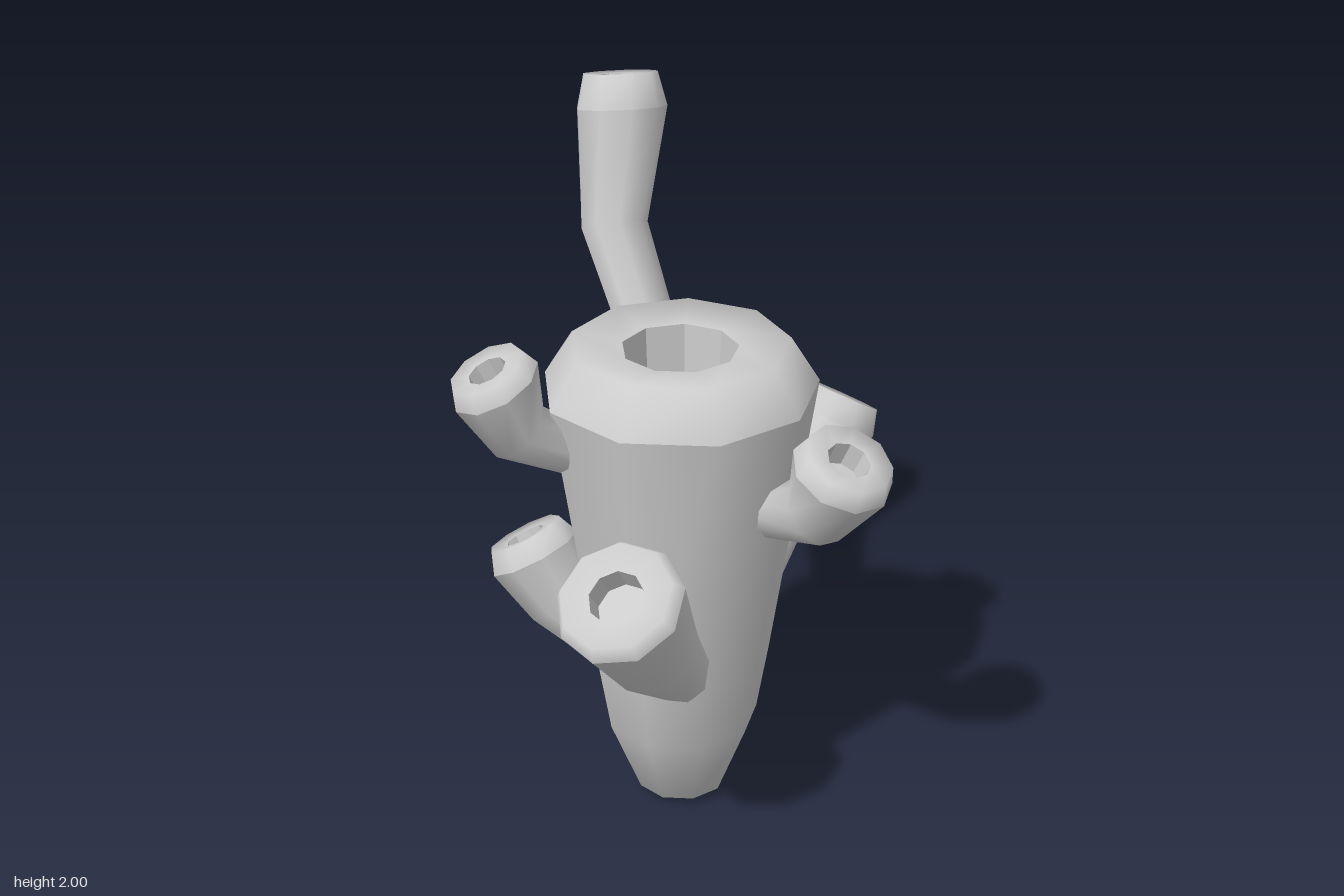
import * as THREE from 'three';

const SIDES = 9;
const material = new THREE.MeshStandardMaterial({ color: 0xcccccc });

// Skin a list of rings { c: centre, r: radius, t: axis } with quads
function loft(rings, flat = false) {
  const pos = [], index = [];
  for (const { c, r, t } of rings) {
    const u = new THREE.Vector3(1, 0, 0).addScaledVector(t, -t.x).normalize();
    const v = new THREE.Vector3().crossVectors(t, u);
    for (let j = 0; j < SIDES; j++) {
      const a = (j / SIDES) * Math.PI * 2;
      const p = c.clone().addScaledVector(u, r * Math.cos(a)).addScaledVector(v, r * Math.sin(a));
      pos.push(p.x, p.y, p.z);
    }
  }
  for (let i = 0; i < rings.length - 1; i++) {
    for (let j = 0; j < SIDES; j++) {
      const k = (j + 1) % SIDES;
      const a = i * SIDES + j, b = i * SIDES + k;
      index.push(a, b, b + SIDES, a, b + SIDES, a + SIDES);
    }
  }
  let geo = new THREE.BufferGeometry();
  geo.setAttribute('position', new THREE.Float32BufferAttribute(pos, 3));
  geo.setIndex(index);
  if (flat) geo = geo.toNonIndexed();
  geo.computeVertexNormals();
  return geo;
}

// Hollow-ended tube: the last two points are the shoulder and the rim
function hollowTube(name, points, holeRadius, depth) {
  const group = new THREE.Group();
  group.name = name;
  const centres = points.map(([x, y, z]) => new THREE.Vector3(x, y, z));
  const n = points.length;
  const dir = (i) => centres[i + 1].clone().sub(centres[i]).normalize();
  const rings = points.map((p, i) => {
    let t;
    if (i === 0) t = dir(0);
    else if (i >= n - 2) t = dir(n - 2);
    else t = dir(i - 1).add(dir(i)).normalize();
    return { c: centres[i], r: p[3], t };
  });
  const rim = rings[n - 1];
  const inner = (r, drop) => ({ c: rim.c.clone().addScaledVector(rim.t, -drop), r, t: rim.t });
  const mouth = inner(holeRadius, holeRadius * 0.1);
  const floor = inner(holeRadius * 0.95, depth);
  const add = (part, geo) => {
    const mesh = new THREE.Mesh(geo, material);
    mesh.name = part;
    group.add(mesh);
  };
  add(name + 'Body', loft(rings.slice(0, n - 1)));
  add(name + 'Rim', loft([rings[n - 2], rim, mouth]));
  add(name + 'Hole', loft([mouth, floor, inner(0, depth)], true));
  return group;
}

export function createModel() {
  const model = new THREE.Group();
  model.name = 'tubeCluster';

  // Central tapering trunk with a pointed foot
  model.add(hollowTube('trunk', [
    [-0.04, 0, 0.01, 0.001], [-0.04, 0.02, 0.01, 0.13], [-0.04, 0.25, 0.01, 0.222],
    [-0.04, 0.45, 0.01, 0.256], [-0.04, 1.29, 0.01, 0.385], [-0.04, 1.42, 0.01, 0.305],
  ], 0.162, 0.2));

  // Side tubes: root, bend, shoulder, rim as [x, y, z, radius]
  const branches = {
    tallBackTube: [[0.12, 1.2, -0.22, 0.08], [0.2, 1.555, -0.49, 0.098],
      [0.285, 1.875, -0.54, 0.132], [0.3, 1.97, -0.56, 0.108]],
    leftTube: [[0.16, 0.46, 0.02, 0.08], [0.37, 0.815, 0.03, 0.1],
      [0.575, 0.985, 0.035, 0.135], [0.615, 1.05, 0.04, 0.112]],
    rightFrontTube: [[-0.17, 0.49, 0.14, 0.09], [-0.42, 0.74, 0.26, 0.138],
      [-0.555, 0.935, 0.295, 0.177], [-0.58, 0.97, 0.303, 0.155]],
    frontTube: [[0, 0.98, 0.27, 0.065], [0.005, 1.06, 0.475, 0.1],
      [0.01, 1.2, 0.555, 0.142], [0.01, 1.25, 0.58, 0.122]],
    lowBackTube: [[-0.1, 0.4, -0.15, 0.08], [-0.2, 0.57, -0.32, 0.112],
      [-0.235, 0.695, -0.39, 0.138], [-0.245, 0.75, -0.42, 0.112]],
    rightBackTube: [[-0.28, 1.13, -0.11, 0.07], [-0.465, 1.24, -0.18, 0.092],
      [-0.515, 1.385, -0.21, 0.128], [-0.535, 1.43, -0.22, 0.108]],
  };
  for (const [name, points] of Object.entries(branches)) {
    model.add(hollowTube(name, points, points[2][3] * 0.43, 0.08));
  }
  return model;
}
